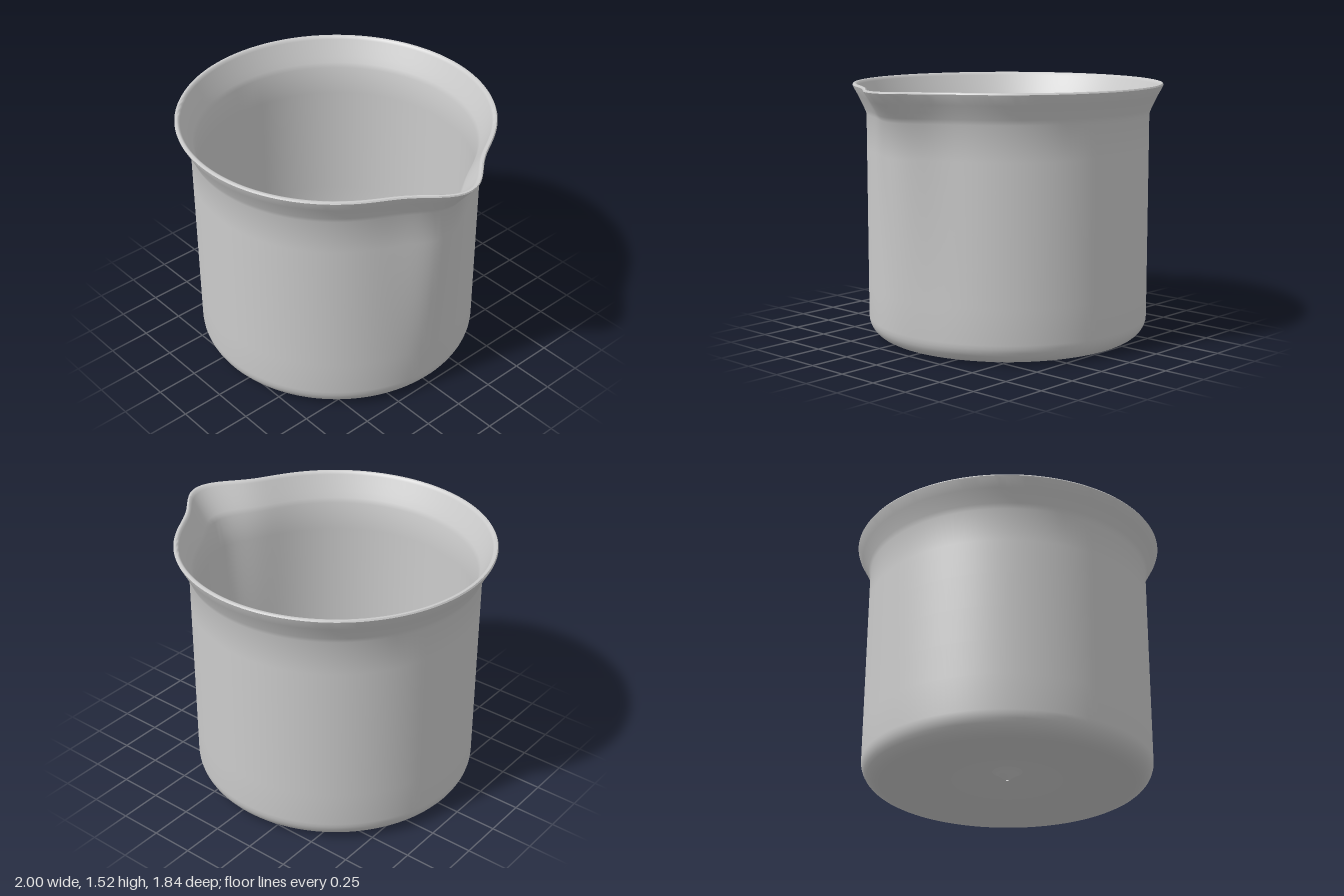
import * as THREE from 'three';
import { toCreasedNormals } from 'three/addons/utils/BufferGeometryUtils.js';

const SPOUT_AMOUNT = [[0.1, 0], [1.34, 0.1], [1.52, 0.16]]; // height, bulge

// Bulge of the wall towards +x at a given height
function spoutBulge(y) {
  for (let i = 1; i < SPOUT_AMOUNT.length; i++) {
    const [y0, b0] = SPOUT_AMOUNT[i - 1], [y1, b1] = SPOUT_AMOUNT[i];
    if (y <= y1) return Math.max(0, b0 + (b1 - b0) * (y - y0) / (y1 - y0));
  }
  return 0.16;
}

function cupProfile() {
  const pts = [];
  const add = (r, y) => pts.push(new THREE.Vector2(r, y));
  const fillet = (r, y, size, a0, a1) => {
    for (let i = 0; i <= 8; i++) {
      const a = a0 + (a1 - a0) * i / 8;
      add(r + size * Math.cos(a), y + size * Math.sin(a));
    }
  };
  // Underside, hollowed towards a small opening at the middle
  for (let i = 0; i < 10; i++) {
    const r = 0.085 + (0.72 - 0.085) * i / 10;
    add(r, 0.115 * (1 - r / 0.72) ** 2);
  }
  fillet(0.72, 0.12, 0.12, -Math.PI / 2, 0);
  // Outer wall and flared lip
  for (let i = 1; i <= 6; i++) add(0.84, 0.12 + 1.22 * i / 6);
  [[0.852, 1.37], [0.868, 1.405], [0.89, 1.45], [0.917, 1.5], [0.92, 1.51],
    [0.915, 1.518], [0.905, 1.52], [0.895, 1.515],
    [0.888, 1.5], [0.864, 1.45], [0.843, 1.405], [0.827, 1.37]].forEach(p => add(...p));
  // Inner wall
  for (let i = 6; i >= 1; i--) add(0.815, 0.26 + 1.08 * i / 6);
  fillet(0.735, 0.26, 0.08, 0, -Math.PI / 2);
  // Floor, dipping to a point
  for (let i = 1; i <= 14; i++) {
    const r = 0.735 * (1 - i / 14) + 0.008;
    add(r, 0.18 - 0.15 * (1 - r / 0.743) ** 4);
  }
  return pts;
}

export function createModel() {
  const group = new THREE.Group();
  group.name = 'spoutedBeaker';

  const lathe = new THREE.LatheGeometry(cupProfile(), 160);
  const pos = lathe.attributes.position;
  for (let i = 0; i < pos.count; i++) {
    const x = pos.getX(i), y = pos.getY(i), z = pos.getZ(i);
    const r = Math.hypot(x, z);
    // Push the wall out into the pouring spout; the floor stays round
    const angle = Math.atan2(z, x);
    const bulge = r > 0.7 ? spoutBulge(y) * Math.exp(-((angle / 0.23) ** 2)) : 0;
    const k = (r + bulge) / r;
    pos.setXYZ(i, x * k - 0.08, y, z * k);
  }
  lathe.deleteAttribute('normal');
  lathe.deleteAttribute('uv');

  const cup = new THREE.Mesh(
    toCreasedNormals(lathe, 0.7),
    new THREE.MeshStandardMaterial({ color: 0xcccccc, side: THREE.DoubleSide })
  );
  cup.name = 'cup';
  group.add(cup);
  return group;
}
